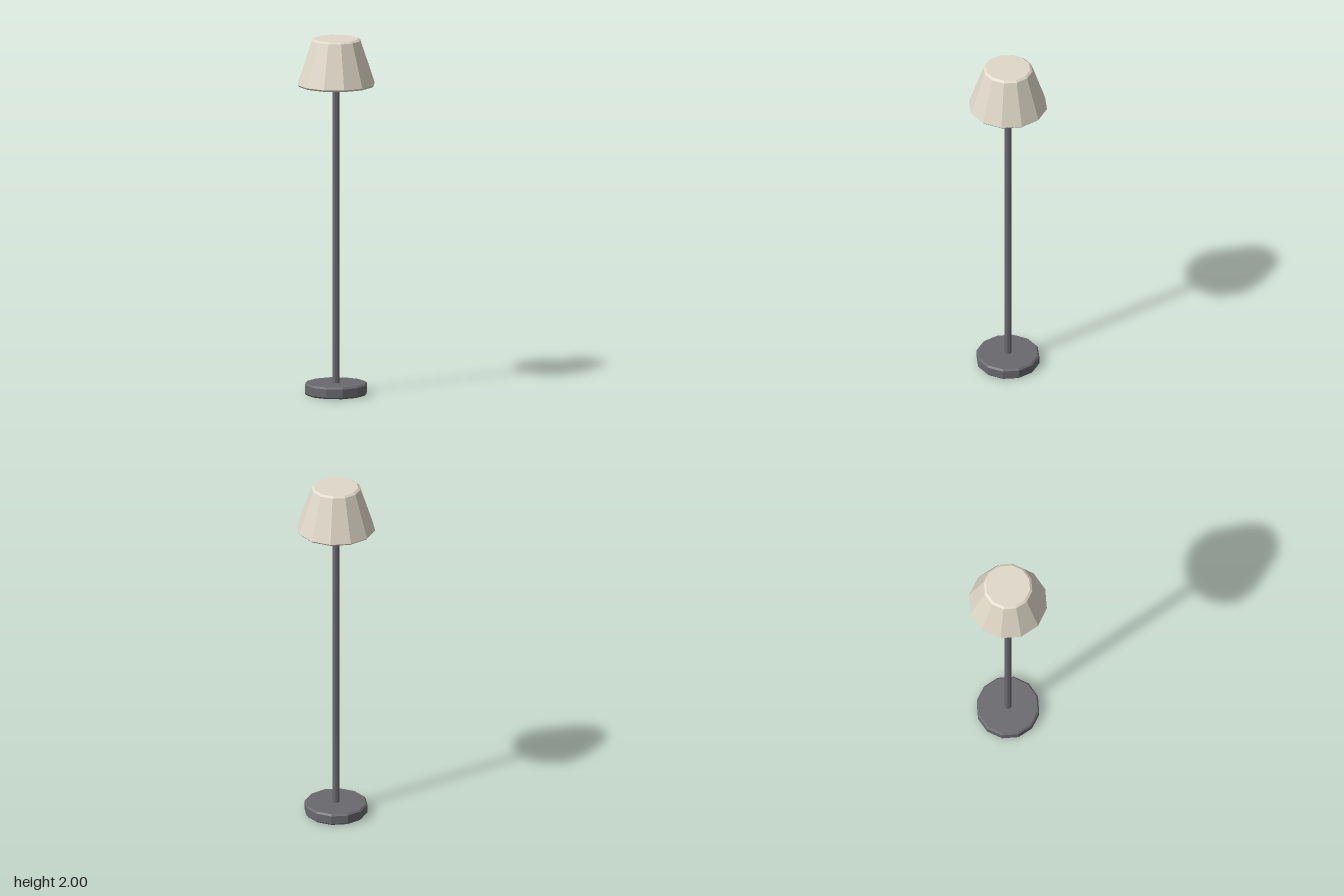
import * as THREE from 'three';

// Solid of revolution from a bottom-to-top [radius, height] profile
function turned(name, profile, sides, color) {
  const points = profile.map(([r, y]) => new THREE.Vector2(r, y));
  const material = new THREE.MeshStandardMaterial({ color, flatShading: true });
  const mesh = new THREE.Mesh(new THREE.LatheGeometry(points, sides), material);
  mesh.name = name;
  return mesh;
}

export function createModel() {
  const model = new THREE.Group();
  model.name = 'floorLamp';
  const metal = 0x6a696e;

  // Weighted disc with bevelled edges
  model.add(turned('base', [
    [0, 0], [0.167, 0], [0.176, 0.009], [0.176, 0.056], [0.167, 0.065], [0, 0.065],
  ], 12, metal));

  // Slim upright from the base into the shade
  model.add(turned('pole', [[0, 0.06], [0.02, 0.06], [0.02, 1.75], [0, 1.75]], 8, metal));

  // Closed tapered shade with narrow bevels at both rims
  model.add(turned('shade', [
    [0, 1.736], [0.209, 1.736], [0.219, 1.746], [0.137, 1.991], [0.124, 2], [0, 2],
  ], 12, 0xe0d8c8));

  return model;
}
